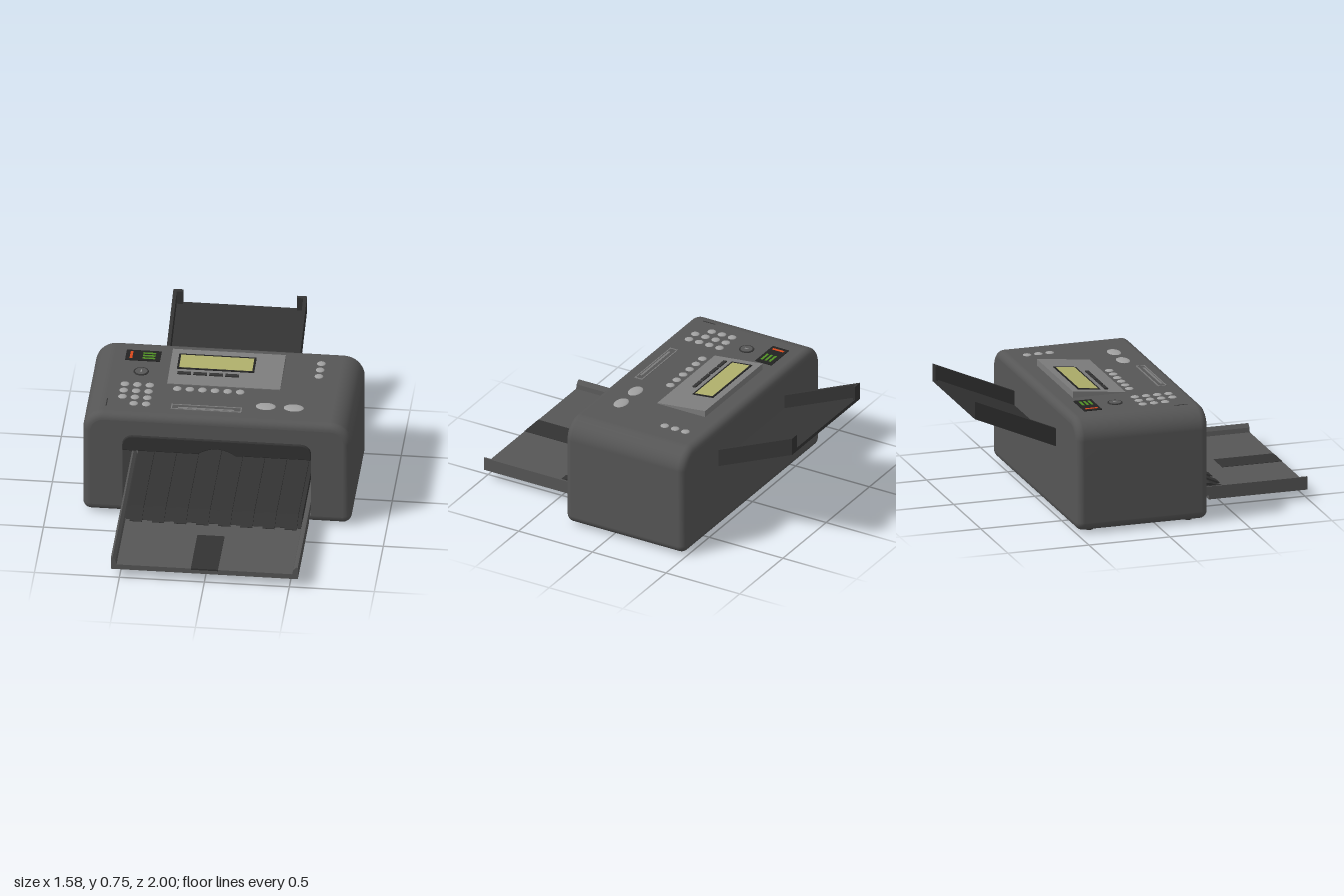
import * as THREE from 'three';

const mat = (color, side = THREE.FrontSide) => {
  const m = new THREE.MeshStandardMaterial({ side });
  m.color.set(color);
  return m;
};
const BODY = mat(0x565656), BODY2 = mat(0x565656, THREE.DoubleSide), DARK = mat(0x333333);
const PANEL = mat(0x7c7c7c), BUTTON = mat(0xa0a0a0), LCD = mat(0xaeae6a);
const BLACK = mat(0x222222), GREEN = mat(0x4f8f24), RED = mat(0xd9481c);

// Counter-clockwise rounded outline with separate top and bottom radii
function outline(hw, y0, y1, rTop, rBot, seg = 10) {
  const corners = [[1, y0, rBot, -0.5], [1, y1, rTop, 0], [-1, y1, rTop, 0.5], [-1, y0, rBot, 1]];
  const pts = [];
  for (const [sx, y, r, start] of corners) {
    const cy = y === y0 ? y0 + r : y1 - r;
    for (let i = 0; i <= seg; i++) {
      const a = Math.PI * (start + 0.5 * i / seg);
      pts.push(new THREE.Vector2(sx * (hw - r) + r * Math.cos(a), cy + r * Math.sin(a)));
    }
  }
  return pts;
}

// Skin through equal-length outlines placed along z, front to back
function loft(rings) {
  const pos = [], idx = [], n = rings[0].pts.length;
  rings.forEach(({ pts, z }) => pts.forEach(p => pos.push(p.x, p.y, z)));
  for (let r = 0; r < rings.length - 1; r++) {
    for (let i = 0; i < n; i++) {
      const a = r * n + i, a1 = r * n + (i + 1) % n, b = a + n, b1 = a1 + n;
      idx.push(a, b, a1, b, b1, a1);
    }
  }
  const g = new THREE.BufferGeometry();
  g.setAttribute('position', new THREE.Float32BufferAttribute(pos, 3));
  g.setIndex(idx);
  g.computeVertexNormals();
  return g;
}

const shapeOf = pts => new THREE.Shape(pts.map(p => new THREE.Vector2(p[0], p[1])));

// Side profile of [z, y] points extruded from x0 to x1
function slab(profile, x0, x1) {
  const g = new THREE.ExtrudeGeometry(shapeOf(profile), { depth: x1 - x0, bevelEnabled: false });
  return g.rotateY(-Math.PI / 2).translate(x1, 0, 0);
}

export function createModel() {
  const root = new THREE.Group();
  function add(parent, name, geo, material, x = 0, y = 0, z = 0) {
    const m = new THREE.Mesh(geo, material);
    m.name = name;
    m.position.set(x, y, z);
    parent.add(m);
    return m;
  }
  function group(name, parent = root) {
    const g = new THREE.Group();
    g.name = name;
    parent.add(g);
    return g;
  }
  const box = (w, h, d) => new THREE.BoxGeometry(w, h, d);

  // Rounded housing
  const housing = group('housing');
  const zF = 0.31, zB = -0.5, bevel = 0.045, steps = 6, rings = [];
  const ring = (inset, z) => ({
    z, pts: outline(0.79 - inset, 0.015 + inset, 0.69 - inset, 0.125 - inset, 0.05 - inset),
  });
  for (let i = 0; i <= steps; i++) {
    const a = i / steps * Math.PI / 2;
    rings.push(ring(bevel * (1 - Math.sin(a)), zF - bevel * (1 - Math.cos(a))));
  }
  for (let i = steps; i >= 0; i--) {
    const a = i / steps * Math.PI / 2;
    rings.push(ring(bevel * (1 - Math.sin(a)), zB + bevel * (1 - Math.cos(a))));
  }
  add(housing, 'shell', loft(rings), BODY);

  // Front face with the paper opening, and the plain back
  const opening = outline(0.555, 0.063, 0.55, 0.06, 0.003, 6);
  const face = new THREE.Shape(rings[0].pts);
  face.holes.push(new THREE.Path(opening));
  add(housing, 'frontFace', new THREE.ShapeGeometry(face), BODY, 0, 0, zF);
  add(housing, 'backFace', new THREE.ShapeGeometry(new THREE.Shape(rings[0].pts)).rotateY(Math.PI), BODY, 0, 0, zB);
  const recess = loft([{ pts: opening, z: zF }, { pts: opening, z: -0.45 }]).toNonIndexed();
  recess.computeVertexNormals();
  add(housing, 'recessWalls', recess, BODY2);
  add(housing, 'recessBack', new THREE.ShapeGeometry(new THREE.Shape(opening)), BODY, 0, 0, -0.45);

  // Feet
  for (const x of [-0.7, 0.7]) for (const z of [-0.4, 0.21])
    add(housing, 'foot', new THREE.CylinderGeometry(0.023, 0.023, 0.03, 16), DARK, x, 0.015, z);

  // Flap over the opening, with a curved thumb notch
  const flap = new THREE.Shape();
  flap.moveTo(-0.555, 0.452);
  flap.lineTo(-0.11, 0.452);
  flap.quadraticCurveTo(0, 0.53, 0.11, 0.452);
  flap.lineTo(0.555, 0.452);
  flap.lineTo(0.555, 0.49);
  flap.absarc(0.495, 0.49, 0.06, 0, Math.PI / 2);
  flap.lineTo(-0.495, 0.55);
  flap.absarc(-0.495, 0.49, 0.06, Math.PI / 2, Math.PI);
  add(root, 'flap', new THREE.ExtrudeGeometry(flap, {
    depth: 0.02, bevelThickness: 0.005, bevelSize: 0.005, bevelOffset: -0.005, bevelSegments: 2,
  }), DARK, 0, 0, 0.3);

  // Output tray: floor, sloped side rails, dark patch, ribbed ramp
  const output = group('outputTray');
  add(output, 'trayFloor', box(1.1, 0.032, 0.61), BODY, 0, 0.072, 0.695);
  const rail = [[0.515, 0.08], [0.55, 0.08], [0.55, 0.135], [0.54, 0.135], [0.523, 0.115]];
  for (const s of [1, -1]) {
    const pts = rail.map(([x, y]) => [s * x, y]);
    add(output, 'sideRail', new THREE.ExtrudeGeometry(shapeOf(pts), { depth: 1.2, bevelEnabled: false }), BODY, 0, 0, -0.2);
  }
  add(output, 'thumbPatch', slab([[0.63, 0.08], [1, 0.08], [1, 0.09], [0.63, 0.09]], -0.08, 0.08), DARK, 0, 0, 0.0005);
  add(output, 'ramp', slab([[-0.44, 0.08], [0.5, 0.08], [0.5, 0.09], [0.41, 0.124], [-0.44, 0.124]], -0.515, 0.515), DARK);
  for (let i = 0; i < 8; i++) {
    const x = -0.49 + i * 0.13;
    add(output, 'rib', slab([[-0.44, 0.085], [0.52, 0.085], [0.52, 0.092], [0.42, 0.137], [-0.44, 0.137]], x, x + 0.072), DARK);
  }

  // Sloping paper feed tray, running into the housing
  const feed = group('feedTray');
  const low = z => 0.425 + (-0.5 - z) * 0.43;
  const strip = (z0, z1, h0, h1) =>
    [[z1, low(z1) + h0], [z0, low(z0) + h0], [z0, low(z0) + h1], [z1, low(z1) + h1]];
  add(feed, 'feedFloor', slab(strip(-0.35, -1, 0, 0.022), -0.392, 0.392), DARK);
  for (const s of [1, -1]) {
    const span = (a, b) => s > 0 ? [a, b] : [-b, -a];
    add(feed, 'feedSide', slab(strip(-0.35, -1, 0, 0.108), ...span(0.372, 0.393)), DARK);
    add(feed, 'endTab', slab(strip(-0.985, -1, 0.01, 0.108), ...span(0.335, 0.38)), DARK);
  }

  // Tilted display console
  const consoleGroup = group('displayConsole');
  add(consoleGroup, 'console', slab([[-0.05, 0.685], [-0.05, 0.694], [-0.375, 0.73], [-0.375, 0.685]], -0.33, 0.335), PANEL);
  const tilted = group('consoleFace', consoleGroup);
  tilted.position.set(0, 0.694, -0.05);
  tilted.rotation.x = Math.atan(0.036 / 0.325);
  add(tilted, 'screenFrame', box(0.455, 0.006, 0.14), BLACK, -0.06, 0.001, -0.212);
  add(tilted, 'screen', box(0.43, 0.006, 0.118), LCD, -0.06, 0.002, -0.212);
  for (let i = 0; i < 4; i++)
    add(tilted, 'menuKey', box(0.08, 0.01, 0.022), DARK, -0.24 + i * 0.094, 0.002, -0.102);

  // Round and oval keys
  const keys = group('keys');
  const key = (x, z, rx = 0.026, rz = 0.026) => {
    const g = new THREE.SphereGeometry(1, 20, 8, 0, Math.PI * 2, 0, Math.PI / 2).scale(rx, 0.009, rz);
    add(keys, 'key', g, BUTTON, x, 0.689, z);
  };
  for (let r = 0; r < 4; r++) for (let c = 0; c < 3; c++)
    if (r < 3 || c > 0) key(-0.575 + c * 0.073, -0.025 + r * 0.069);
  for (let i = 0; i < 6; i++) key(-0.265 + i * 0.074, -0.005);
  for (let i = 0; i < 3; i++) key(0.545, -0.365 + i * 0.07);
  for (const x of [0.27, 0.435]) key(x, 0.135, 0.06, 0.04);

  // Power button with ring
  add(keys, 'powerButton', new THREE.CylinderGeometry(0.036, 0.036, 0.01, 24), BODY, -0.495, 0.69, -0.17);
  add(keys, 'powerRing', new THREE.TorusGeometry(0.04, 0.005, 6, 28).rotateX(Math.PI / 2), DARK, -0.495, 0.69, -0.17);
  add(keys, 'powerMark', box(0.006, 0.002, 0.025), BUTTON, -0.495, 0.695, -0.17);

  // Status light panel
  const status = group('statusPanel');
  add(status, 'statusPlate', box(0.205, 0.008, 0.11), BLACK, -0.5, 0.69, -0.34);
  add(status, 'redLight', box(0.016, 0.006, 0.075), RED, -0.57, 0.693, -0.34);
  for (let i = 0; i < 3; i++)
    add(status, 'greenLight', box(0.075, 0.006, 0.014), GREEN, -0.465, 0.693, -0.365 + i * 0.027);

  // Label plate with raised frame, and a small side slot
  const plate = group('labelPlate');
  add(plate, 'plate', box(0.41, 0.004, 0.05), BODY, -0.073, 0.69, 0.195);
  for (const s of [1, -1]) {
    add(plate, 'frameLong', box(0.415, 0.008, 0.007), PANEL, -0.073, 0.69, 0.195 + s * 0.023);
    add(plate, 'frameShort', box(0.007, 0.008, 0.053), PANEL, -0.073 + s * 0.204, 0.69, 0.195);
  }
  add(plate, 'innerBar', box(0.33, 0.006, 0.014), PANEL, -0.073, 0.69, 0.203);
  add(root, 'sideSlot', box(0.006, 0.004, 0.08), DARK, -0.66, 0.6895, 0.18);

  return root;
}
